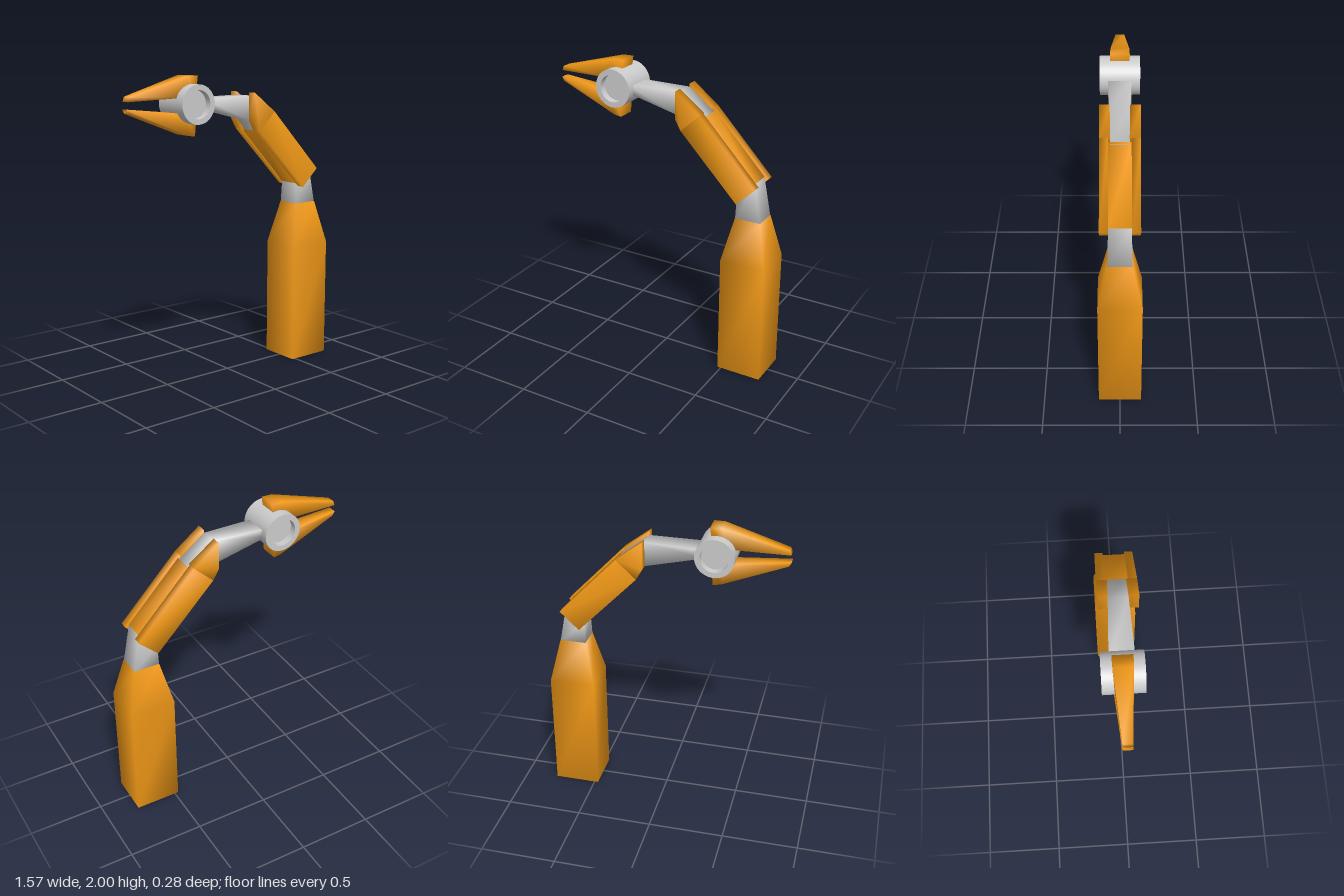
import * as THREE from 'three';

const orange = new THREE.MeshStandardMaterial({ color: 0xf39a17 });
const grey = new THREE.MeshStandardMaterial({ color: 0xcccccc });

// Lofts four-cornered sections [ax, ay, bx, by, z0, z1] into a closed, softly shaded block.
// Point a lies to the left of the direction of travel, point b to the right.
function loft(sections) {
  const pos = [], idx = [];
  for (const [ax, ay, bx, by, z0, z1] of sections) {
    pos.push(ax, ay, z0, ax, ay, z1, bx, by, z1, bx, by, z0);
  }
  const last = (sections.length - 1) * 4;
  for (let s = 0; s < last; s += 4) {
    for (let i = 0; i < 4; i++) {
      const a = s + i, b = s + (i + 1) % 4;
      idx.push(a, b, b + 4, a, b + 4, a + 4);
    }
  }
  idx.push(0, 2, 1, 0, 3, 2);
  idx.push(last, last + 1, last + 2, last, last + 2, last + 3);
  const g = new THREE.BufferGeometry();
  g.setAttribute('position', new THREE.Float32BufferAttribute(pos, 3));
  g.setIndex(idx);
  g.computeVertexNormals();
  return g;
}

export function createModel() {
  const model = new THREE.Group();
  const add = (name, geometry, material) => {
    const mesh = new THREE.Mesh(geometry, material);
    mesh.name = name;
    model.add(mesh);
    return mesh;
  };

  // Tall pedestal with tapered shoulder
  add('pedestal', loft([
    [0.475, 0, 0.78, 0, -0.14, 0.14],
    [0.475, 0.81, 0.78, 0.81, -0.14, 0.14],
    [0.54, 1.1, 0.715, 1.1, -0.078, 0.078],
  ]), orange);

  // Grey neck rising into the lower end of the arm
  add('neck', loft([
    [0.54, 1.09, 0.715, 1.09, -0.077, 0.077],
    [0.545, 1.25, 0.665, 1.355, -0.07, 0.07],
  ]), grey);

  // Upper arm: web between two side plates with angled tips
  add('armWeb', loft([
    [0.545, 1.24, 0.665, 1.355, -0.075, 0.075],
    [0.19, 1.62, 0.31, 1.73, -0.075, 0.075],
  ]), orange);
  for (const side of [1, -1]) {
    const span = (inner, outer) => (side > 0 ? [inner, outer] : [-outer, -inner]);
    const name = side > 0 ? 'frontArmPlate' : 'rearArmPlate';
    add(name, loft([
      [0.565, 1.22, 0.69, 1.34, ...span(0.07, 0.125)],
      [0.17, 1.63, 0.3, 1.75, ...span(0.07, 0.125)],
    ]), orange);
    add(name + 'Tip', loft([
      [0.17, 1.63, 0.3, 1.75, ...span(0.058, 0.125)],
      [0.13, 1.7, 0.13, 1.88, ...span(0.062, 0.125)],
    ]), orange);
  }

  // Forearm, narrowing in height towards the wrist
  add('forearm', loft([
    [0.2, 1.62, 0.32, 1.72, -0.06, 0.06],
    [0.13, 1.7, 0.13, 1.86, -0.062, 0.062],
    [-0.25, 1.8, -0.25, 1.852, -0.078, 0.078],
  ]), grey);

  // Wrist hub: drum with a recess in both ends
  const profile = [
    [0, -0.08], [0.09, -0.08], [0.09, -0.08], [0.09, -0.128], [0.09, -0.128],
    [0.125, -0.128], [0.125, -0.128], [0.125, 0.128], [0.125, 0.128],
    [0.09, 0.128], [0.09, 0.128], [0.09, 0.08], [0.09, 0.08], [0, 0.08],
  ].map(([r, y]) => new THREE.Vector2(r, y));
  const hub = add('wristHub', new THREE.LatheGeometry(profile, 40), grey);
  hub.rotation.x = Math.PI / 2;
  hub.position.set(-0.325, 1.825, 0);

  // Gripper jaws tapering to a blunt point
  add('upperJaw', loft([
    [-0.3, 1.87, -0.283, 2, -0.062, 0.062],
    [-0.38, 1.867, -0.355, 2, -0.06, 0.06],
    [-0.78, 1.855, -0.77, 1.885, -0.03, 0.03],
  ]), orange);
  add('lowerJaw', loft([
    [-0.308, 1.62, -0.295, 1.76, -0.062, 0.062],
    [-0.36, 1.628, -0.38, 1.765, -0.06, 0.06],
    [-0.77, 1.782, -0.785, 1.81, -0.03, 0.03],
  ]), orange);

  return model;
}
